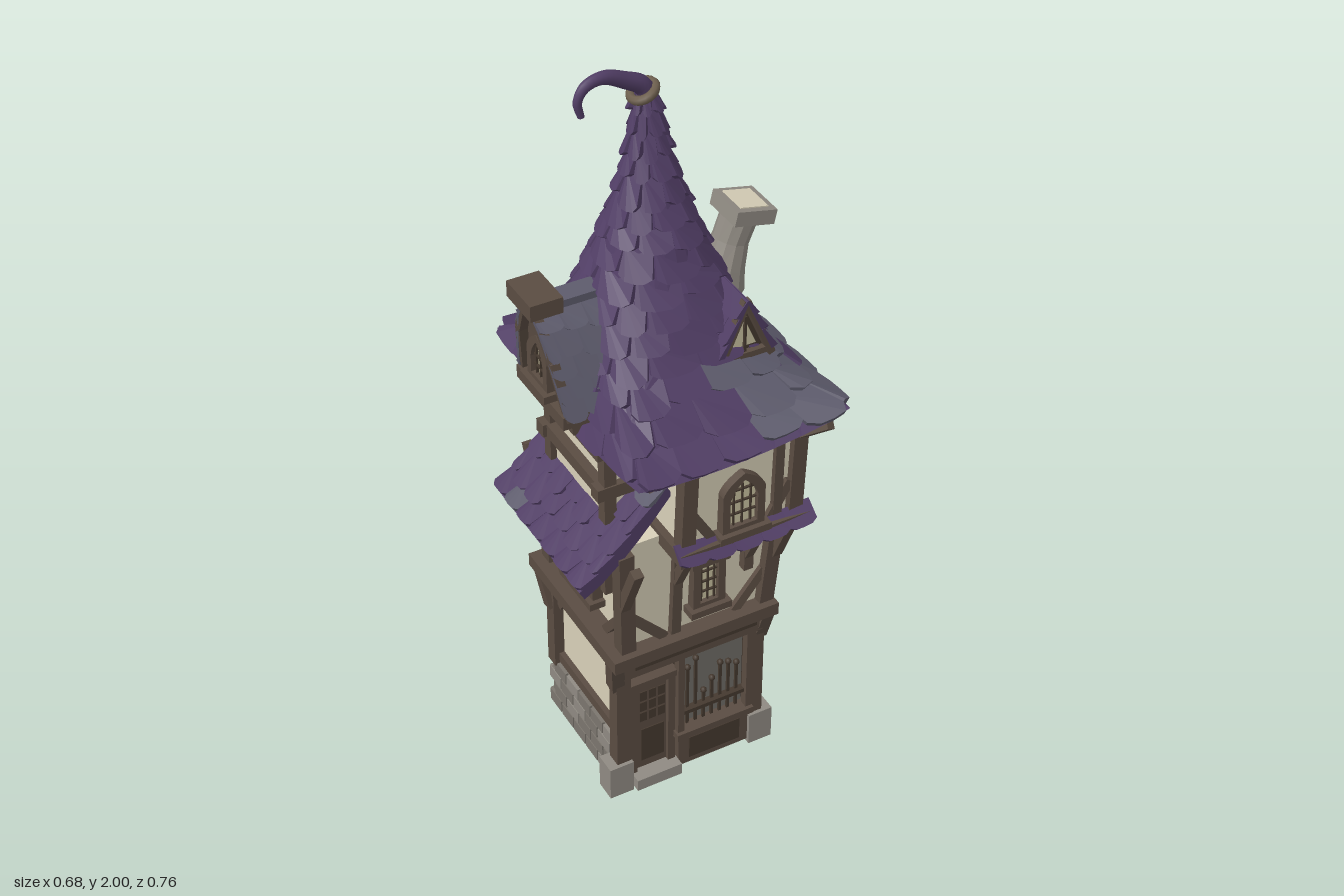
import * as THREE from 'three';
import { mergeGeometries } from 'three/addons/utils/BufferGeometryUtils.js';

const V = (x, y, z) => new THREE.Vector3(x, y, z);
const material = (name, color) => { const m = new THREE.MeshStandardMaterial({ color }); m.name = name; return m; };

export function createModel() {
  const root = new THREE.Group();
  root.name = 'crookedTowerHouse';
  const purple = material('purple shingle', 0x503d64), slate = material('slate shingle', 0x5d5b6c);
  const wood = material('timber', 0x5a4c42), dark = material('dark timber', 0x45392f);
  const plaster = material('plaster', 0xd8d0b8), stone = material('stone', 0x7b766e);
  const pale = material('pale stone', 0x8f8a82), glass = material('pale glass', 0xc8c1a0);
  const shopGlass = material('shop glass', 0x6e6b65), brass = material('ring brown', 0x6c5e4d);
  let seed = 7;
  const rnd = () => (seed = (seed * 16807) % 2147483647) / 2147483647;

  const add = (name, geo, mat, parent = root) => {
    const m = new THREE.Mesh(geo, mat);
    m.name = name;
    parent.add(m);
    return m;
  };
  const box = (name, mat, x0, x1, y0, y1, z0, z1, parent) => {
    const m = add(name, new THREE.BoxGeometry(x1 - x0, y1 - y0, z1 - z0), mat, parent);
    m.position.set((x0 + x1) / 2, (y0 + y1) / 2, (z0 + z1) / 2);
    return m;
  };
  // Straight timber between two points
  const beam = (name, a, b, w = 0.03) => {
    const dir = b.clone().sub(a);
    const m = add(name, new THREE.BoxGeometry(w, dir.length(), w), wood);
    m.position.copy(a).add(b).multiplyScalar(0.5);
    m.quaternion.setFromUnitVectors(V(0, 1, 0), dir.normalize());
  };
  // Flat-shaded solid through loops of points, capped at both ends
  const loft = rings => {
    const p = [], tri = (...q) => q.forEach(v => p.push(v.x, v.y, v.z)), n = rings[0].length;
    for (let r = 0; r + 1 < rings.length; r++) for (let i = 0; i < n; i++) {
      const j = (i + 1) % n, A = rings[r], B = rings[r + 1];
      tri(A[i], A[j], B[j]);
      tri(A[i], B[j], B[i]);
    }
    const bot = rings[0], top = rings[rings.length - 1];
    for (let i = 1; i + 1 < n; i++) { tri(bot[0], bot[i + 1], bot[i]); tri(top[0], top[i], top[i + 1]); }
    const g = new THREE.BufferGeometry();
    g.setAttribute('position', new THREE.Float32BufferAttribute(p, 3));
    g.computeVertexNormals();
    return g;
  };
  const rect = (y, x0, x1, z0, z1) => [V(x0, y, z1), V(x1, y, z1), V(x1, y, z0), V(x0, y, z0)];

  // One round-ended shingle lying on the surface P(u, v)
  const outline = [[0, 1], [0, 0.16], [0.2, 0.02], [0.5, 0], [0.8, 0.02], [1, 0.16], [1, 1]];
  const shingle = (P, u0, u1, v0, v1, t) => {
    const uc = (u0 + u1) / 2, vc = (v0 + v1) / 2, e = 1e-3;
    const n = P(uc + e, vc).sub(P(uc - e, vc)).cross(P(uc, vc + e).sub(P(uc, vc - e))).normalize();
    const ring = f => outline.map(([a, b]) => P(u0 + (u1 - u0) * a, v0 + (v1 - v0) * b).addScaledVector(n, f(b)));
    return loft([ring(() => -0.004), ring(b => t * (1 - 0.85 * b))]);
  };
  // Rows of shingles, merged by colour
  const cover = (name, P, rows, count, pick, closed = false, t = 0.016) => {
    const sets = new Map();
    for (let r = 0; r < rows; r++) {
      const n = count(r), half = r % 2 ? 0.5 : 0;
      for (let i = 0; i < n + (half && !closed ? 1 : 0); i++) {
        let a = (i - half) / n, b = (i + 1 - half) / n;
        if (!closed) { a = Math.max(a, 0); b = Math.min(b, 1); }
        const v0 = Math.max(0, (r + (rnd() - 0.5) * 0.4) / rows), v1 = Math.min((r + 1.35) / rows, 1);
        const g = shingle(P, a, b, v0, v1, t * (0.8 + 0.4 * rnd()));
        const m = pick(P((a + b) / 2, v0));
        if (!sets.has(m)) sets.set(m, []);
        sets.get(m).push(g);
      }
    }
    sets.forEach((list, m) => add(name, mergeGeometries(list), m));
  };

  // Ground floor: plaster core, stone footing and timber shopfront
  add('groundFloorWalls', loft([rect(0, -0.18, 0.2, -0.18, 0.15), rect(0.48, -0.18, 0.2, -0.18, 0.15)]), plaster);
  box('stoneFooting', stone, -0.195, 0.215, 0, 0.165, -0.195, 0.15);
  for (let r = 0; r < 4; r++) for (let i = 0; i < 5; i++) {
    const o = (r % 2) * 0.03, y = r * 0.042 + 0.003, a = -0.2 + i * 0.068 + o, b = Math.min(a + 0.062, 0.14);
    for (const x of [-0.195, 0.215]) box('footingStone', rnd() > 0.75 ? pale : stone, x - 0.008, x + 0.008, y, y + 0.037, a, b);
    const c = -0.2 + i * 0.08 + o;
    box('footingStone', stone, c, Math.min(c + 0.074, 0.222), y, y + 0.037, -0.203, -0.18);
  }
  for (const x of [-0.2, 0.21]) for (const z of [-0.175, 0.17]) {
    if (z > 0) box('cornerStone', pale, x - 0.034, x + 0.034, 0, 0.1, z - 0.03, z + 0.03);
    const px = x - Math.sign(x) * 0.012;
    beam('groundPost', V(px, z > 0 ? 0.1 : 0.16, z), V(px, 0.48, z), 0.04);
    beam('flaredPostHead', V(x, 0.36, z), V(x * 1.08, 0.48, z * 1.15), 0.035);
  }
  for (const x of [-0.185, 0.205]) {
    box('footingRail', wood, x - 0.01, x + 0.01, 0.17, 0.2, -0.18, 0.15);
    for (const s of [-1, 1]) beam('groundBrace', V(x, 0.37, 0.15 * s), V(x, 0.47, 0.09 * s), 0.022);
  }
  box('footingRail', wood, -0.18, 0.2, 0.17, 0.2, -0.195, -0.175);
  for (const s of [-1, 1]) beam('groundBrace', V(0.01 + 0.17 * s, 0.37, -0.185), V(0.01 + 0.11 * s, 0.47, -0.185), 0.022);
  box('shopfrontWall', dark, -0.18, 0.2, 0, 0.47, 0.14, 0.158);
  box('shopfrontLintel', wood, -0.19, 0.21, 0.39, 0.46, 0.15, 0.195);
  box('lintelGroove', dark, -0.16, 0.19, 0.415, 0.43, 0.19, 0.199);
  box('doorStep', pale, -0.16, -0.03, 0, 0.035, 0.15, 0.21);
  box('door', wood, -0.14, -0.05, 0.035, 0.33, 0.155, 0.168);
  for (const x of [-0.155, -0.045]) box('doorJamb', wood, x - 0.01, x + 0.01, 0.03, 0.35, 0.155, 0.18);
  box('doorHead', wood, -0.17, -0.03, 0.33, 0.35, 0.155, 0.185);
  for (let i = 0; i < 3; i++) for (let j = 0; j < 3; j++)
    box('doorPane', dark, -0.132 + i * 0.026, -0.112 + i * 0.026, 0.2 + j * 0.036, 0.23 + j * 0.036, 0.166, 0.171);
  box('doorPanel', dark, -0.128, -0.062, 0.06, 0.17, 0.166, 0.171);
  box('bayBase', wood, -0.03, 0.18, 0.01, 0.12, 0.15, 0.19);
  box('bayPanel', dark, 0, 0.15, 0.03, 0.1, 0.188, 0.194);
  box('baySill', wood, -0.04, 0.185, 0.115, 0.135, 0.15, 0.205);
  box('bayGlass', shopGlass, -0.02, 0.17, 0.135, 0.39, 0.155, 0.163);
  for (const x of [-0.025, 0.175]) box('bayMullion', wood, x - 0.009, x + 0.009, 0.13, 0.4, 0.172, 0.195);
  for (let i = 0; i < 7; i++) {
    const x = 0.005 + i * 0.024, h = 0.22 + 0.15 * rnd();
    box('displayStick', dark, x - 0.004, x + 0.004, 0.135, h, 0.168, 0.174);
    add('displayKnob', new THREE.SphereGeometry(0.009, 8, 6), dark).position.set(x, h, 0.171);
  }
  box('bayShelf', dark, -0.02, 0.17, 0.18, 0.192, 0.165, 0.185);

  // Middle floor
  box('lowerLedge', wood, -0.235, 0.23, 0.465, 0.502, -0.235, 0.235);
  add('middleWalls', loft([rect(0.49, -0.175, 0.2, -0.19, 0.19), rect(0.84, -0.185, 0.215, -0.21, 0.21)]), plaster);
  for (const s of [-1, 1]) {
    for (const [x, X] of [[-0.185, -0.2], [0.205, 0.225]]) {
      beam('middlePost', V(x, 0.49, s * 0.195), V(X, 0.83, s * 0.215), 0.04);
      beam('jettyBracket', V(X, 0.66, s * 0.215), V(X, 0.82, s * 0.285), 0.026);
      beam('middleBrace', V(x * 1.02, 0.5, s * 0.11), V(x * 1.02, 0.6, s * 0.19), 0.024);
      beam('hangingPost', V(X * 0.98, 0.64, s * 0.125), V(X * 0.98, 0.83, s * 0.125), 0.024);
    }
    beam('middleStud', V(-0.05, 0.49, s * 0.195), V(-0.05, 0.83, s * 0.212), 0.026);
    beam('hangingPost', V(0.145, 0.64, s * 0.21), V(0.145, 0.83, s * 0.212), 0.026);
    for (const x of [-0.05, 0.145]) beam('jettyBracket', V(x, 0.68, s * 0.21), V(x, 0.82, s * 0.28), 0.024);
    beam('middleBrace', V(-0.18, 0.61, s * 0.2), V(-0.08, 0.5, s * 0.195), 0.024);
    beam('middleBrace', V(0.2, 0.61, s * 0.2), V(0.12, 0.5, s * 0.195), 0.024);
  }

  // Upper floor with a narrow side wing
  box('upperLedge', wood, -0.1, 0.262, 0.815, 0.853, -0.318, 0.318);
  add('upperWalls', loft([rect(0.84, -0.08, 0.225, -0.28, 0.28), rect(1.15, -0.08, 0.235, -0.29, 0.29)]), plaster);
  box('wingWalls', plaster, -0.2, -0.05, 0.83, 1.15, -0.14, 0.14);
  for (const s of [-1, 1]) {
    for (const x of [-0.07, 0.225]) beam('upperPost', V(x, 0.84, s * 0.28), V(x + 0.004, 1.14, s * 0.29), 0.038);
    for (const [x0, x1] of [[-0.06, 0], [0.21, 0.155]]) beam('upperBrace', V(x0, 0.95, s * 0.285), V(x1, 0.85, s * 0.283), 0.024);
    beam('upperStud', V(0.175, 0.85, s * 0.284), V(0.175, 1.12, s * 0.29), 0.024);
    beam('upperStud', V(0.232, 0.85, s * 0.135), V(0.238, 1.12, s * 0.135), 0.025);
    beam('upperBrace', V(0.23, 0.96, s * 0.27), V(0.23, 0.85, s * 0.2), 0.024);
    box('topRail', wood, -0.09, 0.24, 1.085, 1.12, s * 0.292 - 0.01, s * 0.292 + 0.01);
    beam('wingPost', V(-0.2, 0.88, s * 0.14), V(-0.2, 1.13, s * 0.14), 0.032);
    beam('wingBrace', V(-0.19, 1.09, s * 0.142), V(-0.09, 1.0, s * 0.142), 0.028);
    beam('wingRail', V(-0.235, 0.975, s * 0.142), V(-0.08, 0.975, s * 0.142), 0.036);
    for (const x of [-0.2, 0.27]) beam('eaveBracket', V(x * 0.85, 1.08, s * 0.29), V(x, 1.14, s * 0.36), 0.024);
    // Shingled skirt over the jetty
    const skirt = (u, v) => V(0.08 + s * (u - 0.5) * 0.37, 0.826 + 0.045 * v - 0.012 * Math.sin(Math.PI * u), s * (0.33 - 0.04 * v));
    cover('jettySkirt', skirt, 1, () => 5, () => purple, false, 0.014);
  }
  box('wingRail', wood, -0.225, -0.195, 0.957, 0.993, -0.15, 0.15);
  box('wingTopRail', wood, -0.235, -0.19, 1.08, 1.13, -0.16, 0.16);

  // Windows, built facing +z and then turned
  const windowUnit = (x, y, z, turn, w, h, pointed) => {
    const g = new THREE.Group();
    g.name = 'window';
    g.position.set(x, y, z);
    g.rotation.y = turn;
    root.add(g);
    const path = (k, S) => {
      const a = w / 2 - k, b = h / 2 - k, s = new S();
      s.moveTo(-a, -b);
      s.lineTo(a, -b);
      if (pointed) { s.lineTo(a, b - 0.055); s.quadraticCurveTo(a * 0.85, b - 0.025, 0, b); s.quadraticCurveTo(-a * 0.85, b - 0.025, -a, b - 0.055); }
      else { s.lineTo(a, b); s.lineTo(-a, b); }
      s.closePath();
      return s;
    };
    const frame = path(0, THREE.Shape);
    frame.holes.push(path(0.02, THREE.Path));
    add('windowFrame', new THREE.ExtrudeGeometry(frame, { depth: 0.03, bevelEnabled: false }), wood, g).position.z = -0.01;
    add('windowGlass', new THREE.ShapeGeometry(path(0.01, THREE.Shape)), glass, g).position.z = 0.006;
    for (const k of [-1, 0, 1]) {
      box('windowBar', dark, k * w / 5 - 0.002, k * w / 5 + 0.002, -h / 2 + 0.01, h / 2 - (pointed ? 0.035 : 0.01), 0.006, 0.012, g);
      box('windowBar', dark, -w / 2 + 0.01, w / 2 - 0.01, k * h / 5 - 0.002, k * h / 5 + 0.002, 0.006, 0.012, g);
    }
    box('windowSill', wood, -w / 2 - 0.012, w / 2 + 0.012, -h / 2 - 0.012, -h / 2 + 0.008, -0.01, 0.034, g);
    if (!pointed) box('windowHead', wood, -w / 2 - 0.008, w / 2 + 0.008, h / 2 - 0.018, h / 2 + 0.006, -0.01, 0.028, g);
  };
  const q = Math.PI / 2;
  for (const s of [1, -1]) {
    windowUnit(0.075, 0.945, s * 0.288, s > 0 ? 0 : Math.PI, 0.115, 0.175, true);
    windowUnit(0.035, 0.645, s * 0.203, s > 0 ? 0 : Math.PI, 0.09, 0.16, false);
  }
  windowUnit(0.234, 1.01, 0, q, 0.155, 0.17, true);
  windowUnit(0.211, 0.645, 0, q, 0.135, 0.16, false);
  windowUnit(-0.186, 0.635, 0, -q, 0.13, 0.16, false);
  windowUnit(-0.285, 1.295, 0, -q, 0.1, 0.14, true);

  // Swooping side canopy
  const canopy = (u, v) => V(-0.325 + 0.235 * v, 0.77 + 0.23 * Math.pow(v, 1.3), (u - 0.5) * 0.46);
  const section = u => {
    const edge = Array.from({ length: 6 }, (_, i) => canopy(u, i / 5));
    return [...edge.map(p => p.clone().add(V(0.014, -0.025, 0))), ...edge.reverse()];
  };
  for (let i = 0; i < 5; i++) {
    const quad = u => [i, i + 1, 10 - i, 11 - i].map(k => section(u)[k]);
    add('canopyBoard', loft([quad(0), quad(1)]), purple);
  }
  cover('canopyShingles', canopy, 5, () => 7, () => (rnd() > 0.93 ? slate : purple));

  // Main roof: square eaves blending into a round witch-hat spire [y, centre x, half x, half z, squareness]
  const prof = [[1.13, 0.043, 0.285, 0.37, 30], [1.2, 0.025, 0.235, 0.275, 9], [1.3, 0.008, 0.197, 0.203, 3.2],
    [1.4, -0.003, 0.162, 0.168, 2.5], [1.5, -0.005, 0.13, 0.135, 2], [1.6, -0.006, 0.095, 0.1, 2],
    [1.7, -0.01, 0.06, 0.063, 2], [1.8, -0.013, 0.037, 0.039, 2], [1.93, -0.02, 0.018, 0.018, 2]];
  const roof = (u, v) => {
    const y = 1.13 + 0.8 * Math.min(Math.max(v, 0), 1);
    let i = 0;
    while (i < prof.length - 2 && y > prof[i + 1][0]) i++;
    const f = (y - prof[i][0]) / (prof[i + 1][0] - prof[i][0]);
    const [, cx, hx, hz, n] = prof[i].map((a, k) => a + (prof[i + 1][k] - a) * f);
    const t = (((u * 4) % 4) + 4) % 4, side = Math.floor(t), k = (t - side) * 2 - 1;
    const [sx, sz] = [[1, -k], [-k, -1], [-1, k], [k, 1]][side];
    const r = Math.pow(Math.pow(Math.abs(sx), n) + Math.pow(Math.abs(sz), n), -1 / n);
    const low = Math.max(0, 1 - v * 8);
    return V(cx + sx * hx * r, y + low * (0.022 * k * k + 0.06 * sx * hx), sz * hz * r);
  };
  const core = [];
  for (let j = 0; j <= 16; j++) core.push(Array.from({ length: 32 }, (_, i) => roof(i / 32, j / 16)));
  add('roofCore', loft(core), purple);
  box('soffit', wood, -0.19, 0.28, 1.11, 1.14, -0.325, 0.325);
  const girth = r => roof(0.125, r / 15).distanceTo(roof(0.625, r / 15)) * 2.9;
  cover('roofShingles', roof, 15, r => 4 * Math.max(2, Math.round(girth(r) / 0.36)),
    p => (p.y < 1.26 && p.x > 0.06 && (Math.abs(p.z) > 0.15 || rnd() > 0.45) ? slate : purple), true, 0.018);

  // Curled tip and its ring
  const curl = new THREE.CatmullRomCurve3([V(-0.015, 1.87, 0), V(-0.025, 1.935, 0), V(-0.07, 1.963, 0), V(-0.125, 1.984, 0),
    V(-0.168, 1.972, 0), V(-0.186, 1.94, 0), V(-0.178, 1.902, 0)]);
  const tip = new THREE.TubeGeometry(curl, 28, 0.027, 10), tp = tip.attributes.position;
  for (let i = 0; i < tp.count; i++) {
    const k = Math.floor(i / 11) / 28, c = curl.getPointAt(k);
    const p = V(0, 0, 0).fromBufferAttribute(tp, i).sub(c).multiplyScalar(1 - 0.7 * k).add(c);
    tp.setXYZ(i, p.x, p.y, p.z);
  }
  add('curledTip', tip, purple);
  const ring = add('tipRing', new THREE.TorusGeometry(0.03, 0.011, 8, 20), brass);
  ring.position.set(-0.026, 1.925, 0);
  ring.rotation.set(q, 0.45, 0);

  // Leaning stone chimney with a bright top
  const flue = [[1.325, 0.165, 0.05, 0.056], [1.36, 0.175, 0.056, 0.064], [1.41, 0.186, 0.047, 0.055], [1.47, 0.205, 0.04, 0.043], [1.54, 0.232, 0.042, 0.044]];
  add('stoneChimney', loft(flue.map(([y, c, hx, hz]) => Array.from({ length: 12 }, (_, i) => {
    const a = (i + 0.5) * Math.PI / 6;
    return V(c + Math.cos(a) * hx * 1.06, y - Math.cos(a) * hx * 0.3, -Math.sin(a) * hz * 1.06);
  }))), pale);
  const cap = box('stoneChimneyCap', pale, 0.184, 0.292, 1.525, 1.563, -0.058, 0.058);
  cap.rotation.z = -0.22;
  const mouth = add('chimneyMouth', new THREE.BoxGeometry(0.075, 0.006, 0.085), plaster, cap);
  mouth.position.y = 0.019;

  // Side gable dormer with a timber cap
  add('sideDormerBody', loft([rect(1.13, -0.265, 0, -0.1, 0.1), rect(1.24, -0.28, 0, -0.1, 0.1), rect(1.34, -0.29, 0, -0.075, 0.075), rect(1.43, -0.3, 0, -0.025, 0.025)]), wood);
  box('sideDormerSill', wood, -0.3, -0.2, 1.17, 1.205, -0.12, 0.12);
  for (const s of [-1, 1]) {
    const slope = (u, v) => {
      const a = s > 0 ? u : 1 - u, x0 = -0.293 - 0.034 * v;
      return V(x0 + (-0.08 - x0) * a, 1.19 + 0.255 * v, s * (0.02 + 0.1 * Math.pow(1 - v, 0.6)));
    };
    cover('sideDormerShingles', slope, 5, () => 4, () => slate);
    beam('sideDormerBarge', V(-0.28, 1.19, s * 0.115), V(-0.302, 1.34, s * 0.08), 0.022);
    beam('sideDormerBarge', V(-0.302, 1.34, s * 0.08), V(-0.315, 1.44, s * 0.025), 0.022);
  }
  box('sideDormerRidge', slate, -0.325, -0.1, 1.43, 1.46, -0.028, 0.028);
  box('sideDormerCap', wood, -0.345, -0.262, 1.452, 1.494, -0.06, 0.06);

  // Small triangular front dormer
  const gable = new THREE.Shape([[-0.065, 0], [0.065, 0], [0, 0.15]].map(([x, y]) => new THREE.Vector2(x, y)));
  add('frontDormerBody', new THREE.ExtrudeGeometry(gable, { depth: 0.15, bevelEnabled: false }), dark).position.set(0.125, 1.29, 0.05);
  for (const s of [-1, 1]) {
    const slope = (u, v) => V(0.125 + s * 0.075 * (1 - v), 1.285 + 0.165 * v, 0.15 - s * (u - 0.5) * 0.14);
    cover('frontDormerShingles', slope, 3, () => 2, () => purple);
    beam('frontDormerBarge', V(0.125 + s * 0.07, 1.28, 0.208), V(0.125, 1.445, 0.208), 0.018);
  }
  beam('frontDormerSill', V(0.06, 1.295, 0.208), V(0.19, 1.295, 0.208), 0.016);
  const pane = add('frontDormerGlass', new THREE.ShapeGeometry(gable), glass);
  pane.scale.set(0.5, 0.5, 1);
  pane.position.set(0.125, 1.315, 0.203);
  box('frontDormerBar', dark, 0.122, 0.128, 1.3, 1.4, 0.202, 0.21);
  return root;
}
